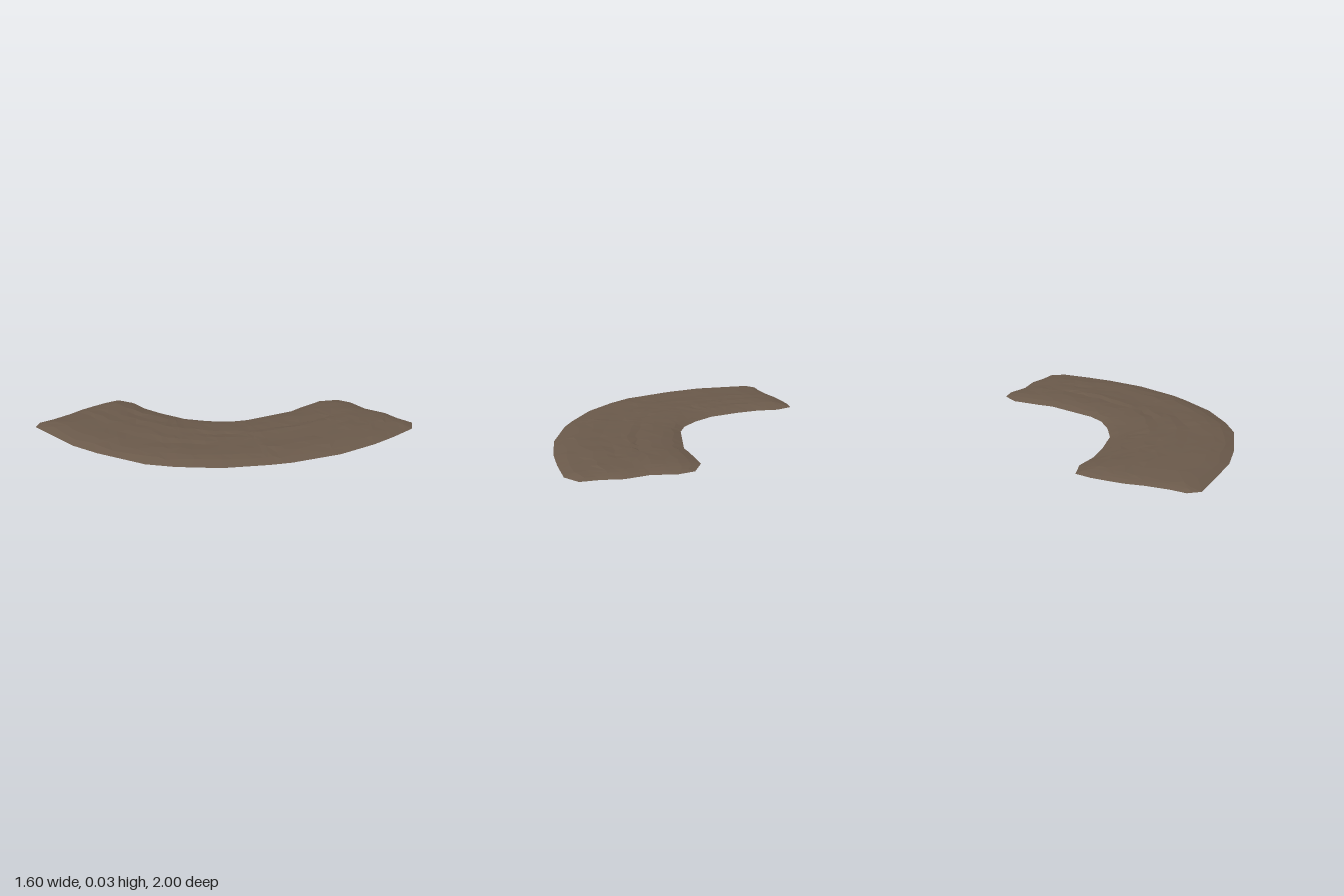
import * as THREE from 'three';

// Outline of the bend in (x, z): inner and outer edges run from the back end to the left end
const inner = [[0.06, -0.92], [0.01, -0.8], [0.04, -0.6], [0.06, -0.51], [0.045, -0.34], [0.03, -0.17], [-0.01, -0.06],
  [-0.1, 0.05], [-0.22, 0.15], [-0.3, 0.18], [-0.4, 0.22], [-0.55, 0.26], [-0.69, 0.265], [-0.8, 0.32]];
const outer = [[0.67, -1], [0.745, -0.92], [0.78, -0.72], [0.8, -0.54], [0.8, -0.27], [0.735, 0.04], [0.69, 0.16],
  [0.57, 0.41], [0.41, 0.61], [0.28, 0.73], [-0.02, 0.875], [-0.21, 0.94], [-0.63, 0.995], [-0.69, 0.94]];
// Ragged ends, from the inner to the outer edge
const backEnd = [[0.06, -0.92], [0.155, -0.955], [0.3, -0.945], [0.36, -0.965], [0.44, -0.99], [0.56, -0.985], [0.67, -1]];
const leftEnd = [[-0.8, 0.32], [-0.8, 0.42], [-0.783, 0.52], [-0.765, 0.61], [-0.73, 0.71], [-0.7, 0.84], [-0.69, 0.94]];

const mix = THREE.MathUtils.lerp;

// Point on a polyline at t from 0 to 1
function along(line, t) {
  const s = t * (line.length - 1);
  const i = Math.min(Math.floor(s), line.length - 2);
  return [0, 1].map((k) => mix(line[i][k], line[i + 1][k], s - i));
}

// Blend the four edges into one surface point
function patch(u, v) {
  const a = along(inner, u), b = along(outer, u), c = along(backEnd, v), d = along(leftEnd, v);
  return [0, 1].map((k) => mix(a[k], b[k], v) + mix(c[k], d[k], u)
    - mix(mix(inner[0][k], outer[0][k], v), mix(inner[13][k], outer[13][k], v), u));
}

// Repeatable value from 0 to 1 for a grid cell
function hash(i, j) {
  const s = Math.sin(i * 127.1 + j * 311.7) * 43758.5453;
  return s - Math.floor(s);
}

// Distance from a point to the nearest edge
function edgeDistance(x, z) {
  const p = new THREE.Vector3(x, 0, z), q = new THREE.Vector3();
  let best = Infinity;
  for (const line of [inner, outer, backEnd, leftEnd]) {
    for (let i = 0; i < line.length - 1; i++) {
      const seg = new THREE.Line3(new THREE.Vector3(line[i][0], 0, line[i][1]),
        new THREE.Vector3(line[i + 1][0], 0, line[i + 1][1]));
      best = Math.min(best, seg.closestPointToPoint(p, true, q).distanceTo(p));
    }
  }
  return best;
}

// Low mound with ruts running along the bend
function pathGeometry(nu, nv) {
  const positions = [], index = [];
  for (let i = 0; i <= nu; i++) {
    for (let j = 0; j <= nv; j++) {
      const rim = i === 0 || j === 0 || i === nu || j === nv;
      const u = i / nu + (rim ? 0 : (hash(i, j) - 0.5) * 0.5 / nu);
      const v = j / nv + (rim ? 0 : (hash(j + 50, i) - 0.5) * 0.5 / nv);
      const [x, z] = patch(u, v);
      const cell = Math.floor(i / 4), f = (i % 4) / 4;
      const rut = mix(hash(cell, j + 9), hash(cell + 1, j + 9), f) - 0.5;
      const bump = rut * 0.009 + (hash(i + 7, j + 23) - 0.5) * 0.003;
      const rise = rim ? 0 : 1 - Math.exp(-edgeDistance(x, z) / 0.075);
      positions.push(x, rise * (0.03 + bump), z);
      if (i < nu && j < nv) {
        const a = i * (nv + 1) + j, b = a + nv + 1;
        if (hash(i, j + 70) < 0.5) index.push(a, b, a + 1, b, b + 1, a + 1);
        else index.push(a, b, b + 1, a, b + 1, a + 1);
      }
    }
  }
  const geometry = new THREE.BufferGeometry();
  geometry.setAttribute('position', new THREE.Float32BufferAttribute(positions, 3));
  geometry.setIndex(index);
  geometry.computeVertexNormals();
  return geometry;
}

export function createModel() {
  const group = new THREE.Group();
  group.name = 'curvedDirtPath';
  const dirt = new THREE.MeshStandardMaterial({ color: 0x6b5a4b, flatShading: true, side: THREE.DoubleSide });
  dirt.name = 'dirt brown';
  const path = new THREE.Mesh(pathGeometry(39, 12), dirt);
  path.name = 'pathSurface';
  group.add(path);
  return group;
}
